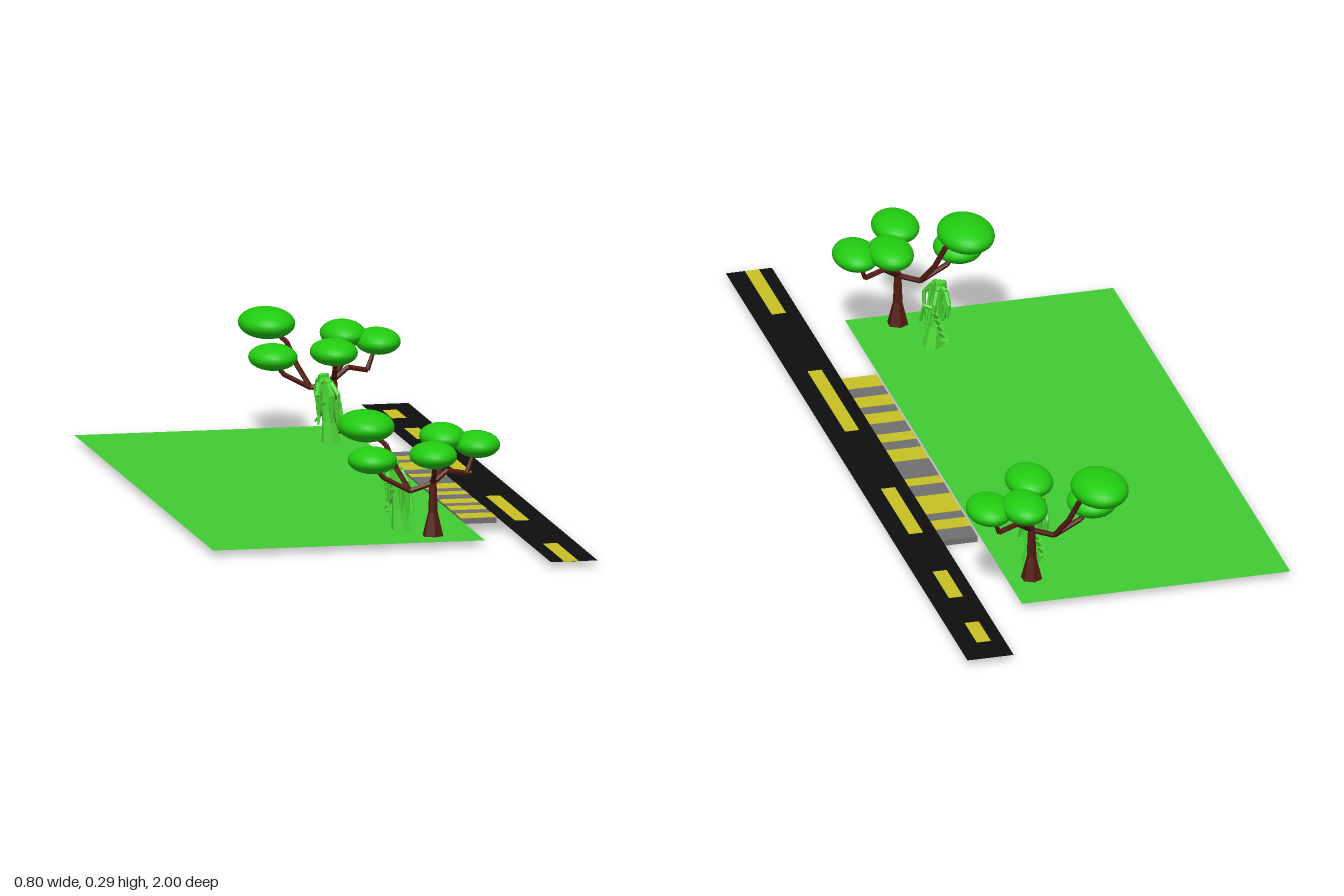
import * as THREE from 'three';

const mat = (color, flatShading = false, side = THREE.FrontSide) =>
  new THREE.MeshStandardMaterial({ color, flatShading, side });

const grassMat = mat(0x41cc33, false, THREE.DoubleSide);
const roadMat = mat(0x0e0e0e, false, THREE.DoubleSide);
const yellowMat = mat(0xc9c124);
const slabMat = mat(0x707070);
const barkMat = mat(0x521a10, true);
const leafMat = mat(0x22cc11);
const plantMat = mat(0x4cd834, true);

const GROUND = 0.013;

function add(parent, name, geometry, material, x = 0, y = 0, z = 0) {
  const mesh = new THREE.Mesh(geometry, material);
  mesh.name = name;
  mesh.position.set(x, y, z);
  parent.add(mesh);
  return mesh;
}

// Flat horizontal sheet covering x0..x1, z0..z1
function sheet(parent, name, x0, x1, z0, z1, material) {
  const g = new THREE.PlaneGeometry(x1 - x0, z1 - z0).rotateX(-Math.PI / 2);
  add(parent, name, g, material, (x0 + x1) / 2, GROUND, (z0 + z1) / 2);
}

// Thin painted strip that shows on the faces of its sheet
function strip(parent, name, x0, x1, z0, z1, y, h) {
  add(parent, name, new THREE.BoxGeometry(x1 - x0, h, z1 - z0), yellowMat, (x0 + x1) / 2, y, (z0 + z1) / 2);
}

// Chain of tapered segments through points [x, y, z, radius]
function limb(parent, name, points, material, sides = 6) {
  const up = new THREE.Vector3(0, 1, 0);
  for (let i = 0; i < points.length - 1; i++) {
    const a = new THREE.Vector3(...points[i].slice(0, 3));
    const b = new THREE.Vector3(...points[i + 1].slice(0, 3));
    const d = b.clone().sub(a);
    const g = new THREE.CylinderGeometry(points[i + 1][3], points[i][3], d.length(), sides);
    const m = add(parent, name, g, material);
    m.position.copy(a).addScaledVector(d, 0.5);
    m.quaternion.setFromUnitVectors(up, d.normalize());
  }
}

// Spreading tree with flat oval crowns, placed by its trunk base
function createTree(name, x, z) {
  const tree = new THREE.Group();
  tree.name = name;
  tree.position.set(x, 0, z);
  limb(tree, 'trunk', [[0, 0.018, 0, 0.024], [0, 0.07, 0, 0.011], [0, 0.142, 0, 0.008]], barkMat);

  const r = 0.006, t = 0.004;
  const branches = [
    [[0, 0.135, 0, r], [-0.05, 0.118, -0.005, r], [-0.11, 0.15, -0.005, r], [-0.135, 0.18, -0.005, t]],
    [[-0.05, 0.118, -0.005, r], [-0.075, 0.165, -0.035, r], [-0.095, 0.215, -0.05, r], [-0.13, 0.245, -0.07, t]],
    [[0, 0.135, 0, r], [-0.005, 0.165, 0.04, r], [-0.015, 0.2, 0.08, t]],
    [[0, 0.135, 0, r], [0.025, 0.165, -0.03, r], [0.035, 0.21, -0.06, t]],
    [[0, 0.135, 0, r], [0.035, 0.16, -0.012, r], [0.08, 0.15, -0.022, r], [0.1, 0.2, -0.03, t]],
  ];
  branches.forEach(b => limb(tree, 'branch', b, barkMat));

  // Crowns: centre, then radii
  const crowns = [
    [-0.135, 0.255, -0.072, 0.062, 0.034, 0.085],
    [-0.135, 0.19, -0.005, 0.054, 0.029, 0.063],
    [-0.018, 0.213, 0.087, 0.052, 0.029, 0.07],
    [0.035, 0.226, -0.067, 0.05, 0.03, 0.07],
    [0.105, 0.213, -0.03, 0.05, 0.029, 0.068],
  ];
  for (const [cx, cy, cz, rx, ry, rz] of crowns)
    add(tree, 'crown', new THREE.SphereGeometry(1, 32, 16), leafMat, cx, cy, cz).scale.set(rx, ry, rz);
  return tree;
}

// Pale green plant with drooping fronds on one side and a twiggy arm on the other
function createPlant(name, x, z) {
  const plant = new THREE.Group();
  plant.name = name;
  plant.position.set(x, 0, z);
  limb(plant, 'plantTrunk', [
    [0, 0.011, 0, 0.023], [-0.006, 0.06, 0, 0.015], [-0.012, 0.12, 0, 0.011], [-0.018, 0.166, 0, 0.013]], plantMat);

  // Drooping fronds
  for (const [dx, dz, drop] of [[-0.03, 0.05, 0.07], [0, 0.065, 0.08], [0.018, 0.045, 0.1], [-0.015, -0.04, 0.06], [0.015, -0.03, 0.07]]) {
    limb(plant, 'frond', [
      [-0.016, 0.158, 0, 0.006], [-0.016 + dx * 0.6, 0.15, dz * 0.55, 0.006],
      [-0.012 + dx, 0.125, dz, 0.005], [-0.01 + dx, 0.155 - drop, dz * 0.9, 0.003]], plantMat, 5);
    limb(plant, 'frondTip', [
      [-0.016 + dx * 0.6, 0.15, dz * 0.55, 0.005], [-0.012 + dx * 0.7, 0.11, dz * 0.6, 0.004],
      [-0.005 + dx * 0.9, 0.14 - drop, dz * 0.5, 0.002]], plantMat, 5);
  }

  // Low arm with side twigs
  limb(plant, 'arm', [[-0.006, 0.095, 0, 0.006], [-0.006, 0.085, -0.035, 0.005], [0, 0.06, -0.085, 0.003]], plantMat, 5);
  for (let i = 0; i < 4; i++) {
    const az = -0.025 - i * 0.016, ay = 0.09 - i * 0.008;
    for (const s of [-1, 1])
      limb(plant, 'twig', [[-0.005, ay, az, 0.004], [-0.005 + s * 0.014, ay + s * 0.02, az - 0.014, 0.002]], plantMat, 5);
  }
  // Short arms near the trunk, left and right
  for (const s of [-1, 1])
    limb(plant, 'sideArm', [
      [-0.008, 0.1, 0, 0.005], [-0.008 + s * 0.022, 0.105, 0.015, 0.005], [-0.008 + s * 0.028, 0.06, 0.03, 0.003]], plantMat, 5);
  return plant;
}

export function createModel() {
  const model = new THREE.Group();
  model.name = 'roadsidePark';

  // Ground and road
  sheet(model, 'grass', -0.4, 0.21, -0.76, 0.705, grassMat);
  sheet(model, 'road', 0.295, 0.4, -1, 1, roadMat);
  for (const [a, b] of [[-0.92, -0.82], [-0.69, -0.555], [-0.36, -0.127], [0.17, 0.48], [0.775, 0.998]])
    strip(model, 'roadDash', 0.325, 0.357, a, b, GROUND, 0.002);

  // Pavement slab with painted stripes on top
  add(model, 'pavement', new THREE.BoxGeometry(0.08, 0.013, 0.835), slabMat, 0.255, 0.0065, 0.0075);
  const stripes = [[-0.355, -0.31], [-0.275, -0.185], [-0.13, -0.095], [-0.005, 0.055],
    [0.095, 0.135], [0.19, 0.24], [0.275, 0.325], [0.37, 0.425]];
  for (const [a, b] of stripes) strip(model, 'pavementStripe', 0.215, 0.295, a, b, GROUND, 0.0015);

  // Planting
  model.add(createTree('frontTree', 0.105, 0.65), createTree('backTree', 0.158, -0.65));
  model.add(createPlant('frontPlant', 0.058, 0.535), createPlant('backPlant', 0.133, -0.555));
  return model;
}
